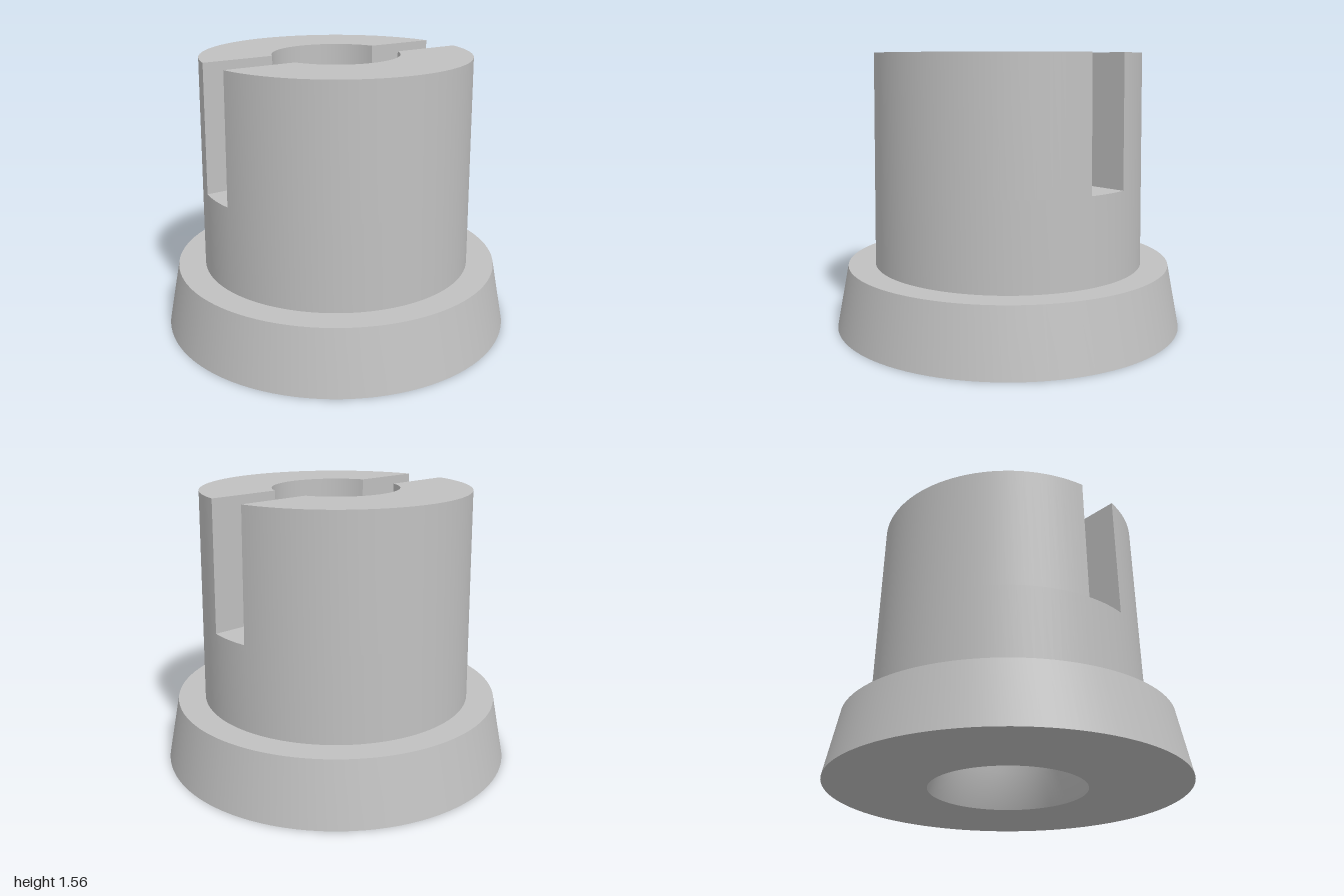
import * as THREE from 'three';
import { toCreasedNormals } from 'three/addons/utils/BufferGeometryUtils.js';

const SLOT_HALF = 0.125; // half width of the cross slot
const SLOT_STEPS = 8;    // segments across each slot opening
const SIDE_STEPS = 48;   // segments along each solid half
const COUNT = 2 * (SLOT_STEPS + SIDE_STEPS);

// Closed section [radius, y]: underside, flange, tapered barrel, bore, countersink
const PROFILE = [
  [0.44, 0], [1, 0], [0.93, 0.36], [0.775, 0.36],
  [0.767, 0.84], [0.755, 1.56], [0.357, 1.56], [0.357, 0.84],
  [0.357, 0.2],
];
const SLOT_START = 4, SLOT_END = 7; // profile points on the slot floor level

// One ring of points whose slot edges always lie on z = +-SLOT_HALF
function makeRing([r, y]) {
  const a0 = Math.asin(SLOT_HALF / r);
  const ring = [];
  for (let half = 0; half < 2; half++) {
    const add = (from, to, steps) => {
      for (let i = 0; i < steps; i++) {
        const a = half * Math.PI + from + (to - from) * i / steps;
        ring.push([r * Math.cos(a), y, r * Math.sin(a)]);
      }
    };
    add(-a0, a0, SLOT_STEPS);
    add(a0, Math.PI - a0, SIDE_STEPS);
  }
  return ring;
}

function makeBushing() {
  const rings = PROFILE.map(makeRing);
  const positions = [];
  const quad = (a, b, c, d) => positions.push(...a, ...b, ...c, ...a, ...c, ...d);
  const strip = (lower, upper, i) => {
    const n = (i + 1) % COUNT;
    quad(lower[i], upper[i], upper[n], lower[n]);
  };
  const halfCount = COUNT / 2;

  for (let i = 0; i < COUNT; i++) {
    const inSlot = i % halfCount < SLOT_STEPS;
    // Skin around the section, left open where the slot passes
    for (let j = 0; j < rings.length; j++) {
      if (inSlot && j >= SLOT_START && j < SLOT_END) continue;
      strip(rings[j], rings[(j + 1) % rings.length], i);
    }
    // Slot floor
    if (inSlot) strip(rings[SLOT_START], rings[SLOT_END], i);
  }

  // Slot walls at both ends of each solid half
  for (let half = 0; half < 2; half++) {
    const start = half * halfCount + SLOT_STEPS;
    const end = ((half + 1) * halfCount) % COUNT;
    quad(rings[7][start], rings[6][start], rings[5][start], rings[4][start]);
    quad(rings[4][end], rings[5][end], rings[6][end], rings[7][end]);
  }

  const geometry = new THREE.BufferGeometry();
  geometry.setAttribute('position', new THREE.Float32BufferAttribute(positions, 3));
  return toCreasedNormals(geometry, 0.5);
}

export function createModel() {
  const group = new THREE.Group();
  group.name = 'slottedBushing';
  const material = new THREE.MeshStandardMaterial({ color: 0xc0c0c0 });
  material.name = 'light grey';
  const body = new THREE.Mesh(makeBushing(), material);
  body.name = 'flangedSlottedBody';
  group.add(body);
  return group;
}
